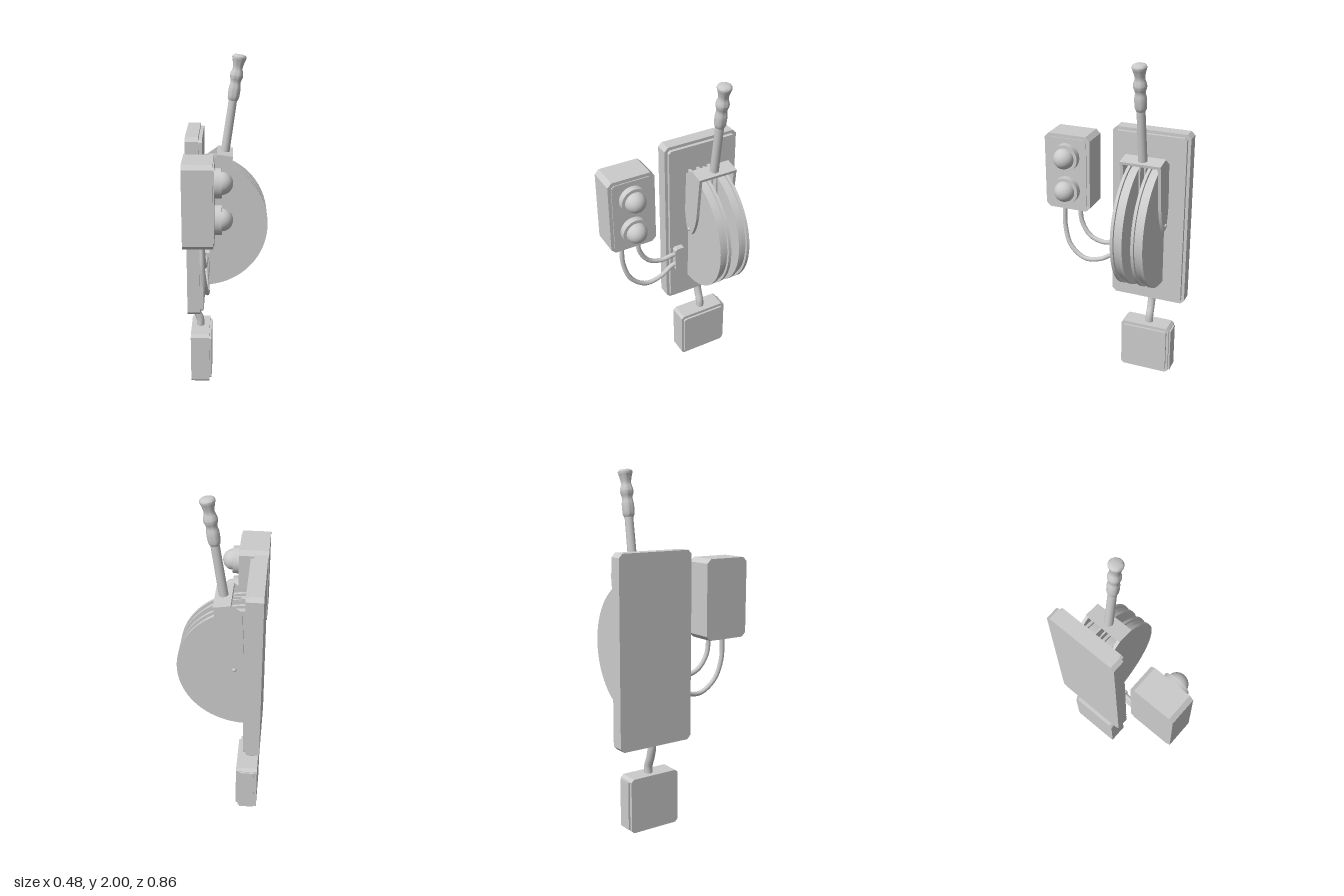
import * as THREE from 'three';
import { toCreasedNormals } from 'three/addons/utils/BufferGeometryUtils.js';

const material = new THREE.MeshStandardMaterial({ color: 0xcccccc });

function add(parent, name, geometry, x = 0, y = 0, z = 0) {
  const mesh = new THREE.Mesh(geometry, material);
  mesh.name = name;
  mesh.position.set(x, y, z);
  parent.add(mesh);
  return mesh;
}

// Plate facing +x with cut corners
function plate(parent, name, [x0, x1], [y0, y1], [z0, z1], c) {
  const s = new THREE.Shape([
    [-z1 + c, y0], [-z0 - c, y0], [-z0, y0 + c], [-z0, y1 - c],
    [-z0 - c, y1], [-z1 + c, y1], [-z1, y1 - c], [-z1, y0 + c],
  ].map(([a, b]) => new THREE.Vector2(a, b)));
  const g = new THREE.ExtrudeGeometry(s, { depth: x1 - x0, bevelEnabled: false });
  g.rotateY(Math.PI / 2);
  return add(parent, name, g, x0);
}

// Tube through a few points
function tube(parent, name, points, radius) {
  const curve = new THREE.CatmullRomCurve3(points.map(p => new THREE.Vector3(...p)));
  return add(parent, name, new THREE.TubeGeometry(curve, 40, radius, 12));
}

// Half disc bulging toward +x, axis along z
function halfDisc(parent, name, radius, z0, z1) {
  const g = new THREE.CylinderGeometry(radius, radius, z1 - z0, 40, 1, false, 0, Math.PI);
  g.rotateX(Math.PI / 2);
  return add(parent, name, g, -0.15, 1.02, (z0 + z1) / 2);
}

export function createModel() {
  const model = new THREE.Group();
  model.name = 'leverSwitch';

  // Wall plate in two tiers
  plate(model, 'backPlate', [-0.24, -0.165], [0.49, 1.57], [-0.43, 0.035], 0.022);
  plate(model, 'backPlateTier', [-0.165, -0.145], [0.508, 1.552], [-0.412, 0.017], 0.014);

  // Signal box with two lamps
  plate(model, 'signalBox', [-0.24, -0.075], [1.045, 1.51], [0.145, 0.427], 0.025);
  plate(model, 'signalBoxFace', [-0.075, -0.069], [1.065, 1.49], [0.165, 0.407], 0.015);
  for (const y of [1.38, 1.175]) {
    const ring = new THREE.CylinderGeometry(0.081, 0.081, 0.04, 32).rotateZ(-Math.PI / 2);
    add(model, 'lampRing', ring, -0.05, y, 0.287);
    const dome = new THREE.SphereGeometry(0.062, 32, 12, 0, Math.PI * 2, 0, Math.PI / 2);
    add(model, 'lampDome', dome.rotateZ(-Math.PI / 2), -0.031, y, 0.287);
  }

  // Lower junction box with front and side panels
  plate(model, 'lowerBox', [-0.228, -0.115], [0, 0.317], [-0.356, -0.045], 0.016);
  plate(model, 'lowerBoxPanel', [-0.115, -0.102], [0.018, 0.298], [-0.342, -0.06], 0.008);
  add(model, 'lowerBoxSidePanel', new THREE.BoxGeometry(0.085, 0.28, 0.012), -0.168, 0.158, -0.36);

  // Conduit and cables
  tube(model, 'conduit', [[-0.21, 0.54, -0.21], [-0.21, 0.47, -0.21], [-0.195, 0.41, -0.21],
    [-0.175, 0.36, -0.21], [-0.172, 0.3, -0.21]], 0.024);
  plate(model, 'cableConnector', [-0.145, -0.108], [0.73, 0.89], [-0.07, 0], 0.012);
  tube(model, 'outerCable', [[-0.14, 1.06, 0.335], [-0.135, 0.9, 0.335], [-0.122, 0.78, 0.295],
    [-0.115, 0.71, 0.2], [-0.12, 0.72, 0.1], [-0.127, 0.765, 0.02], [-0.127, 0.775, -0.01]], 0.014);
  tube(model, 'innerCable', [[-0.14, 1.06, 0.235], [-0.137, 0.95, 0.225], [-0.132, 0.865, 0.17],
    [-0.13, 0.835, 0.09], [-0.127, 0.845, 0.02], [-0.127, 0.848, -0.01]], 0.014);

  // Two grooved half wheels
  for (const z of [-0.26, -0.139]) {
    const wheel = new THREE.Group();
    wheel.name = 'halfWheel';
    halfDisc(wheel, 'wheelCore', 0.37, z - 0.02, z + 0.02);
    halfDisc(wheel, 'wheelFlange', 0.386, z - 0.035, z - 0.018);
    halfDisc(wheel, 'wheelFlange', 0.386, z + 0.018, z + 0.035);
    model.add(wheel);
  }

  // Side arms, pivot pins and centre straps of the lever
  const arm = new THREE.Shape();
  arm.moveTo(-0.065, 1.442);
  arm.lineTo(-0.125, 1.40);
  arm.lineTo(-0.136, 1.14);
  arm.quadraticCurveTo(-0.125, 1.04, -0.1, 1.01);
  arm.quadraticCurveTo(-0.08, 0.995, -0.06, 1.01);
  arm.quadraticCurveTo(-0.01, 1.09, 0.0, 1.18);
  arm.lineTo(0.028, 1.43);
  for (const side of [-1, 1]) {
    const armGeometry = new THREE.ExtrudeGeometry(arm, { depth: 0.018, bevelEnabled: false });
    add(model, 'leverArm', armGeometry, 0, 0, -0.2 + side * 0.111 - 0.009);
    const pin = new THREE.SphereGeometry(0.012, 12, 8).scale(1, 1, 0.8);
    add(model, 'pivotPin', pin, -0.085, 1.035, -0.2 + side * 0.121);
    add(model, 'centreStrap', new THREE.BoxGeometry(0.1, 0.39, 0.009), -0.06, 1.23, -0.2 + side * 0.016);
  }
  add(model, 'pivotAxle', new THREE.CylinderGeometry(0.012, 0.012, 0.23, 12).rotateX(Math.PI / 2), -0.085, 1.035, -0.2);

  // Tilted crossbar, rod and turned grip
  const lever = new THREE.Group();
  lever.name = 'lever';
  lever.position.set(-0.0175, 1.434, -0.2);
  lever.rotation.z = -0.148;
  model.add(lever);
  add(lever, 'crossbar', new THREE.BoxGeometry(0.095, 0.016, 0.24));
  add(lever, 'leverRod', new THREE.CylinderGeometry(0.024, 0.026, 0.33, 20), 0, 0.165, 0);
  const grip = new THREE.SplineCurve([
    [0.026, 0.31], [0.033, 0.33], [0.034, 0.38], [0.029, 0.415], [0.037, 0.445],
    [0.036, 0.465], [0.028, 0.495], [0.034, 0.53], [0.041, 0.555], [0.037, 0.566],
  ].map(([r, y]) => new THREE.Vector2(r, y))).getPoints(30);
  grip.push(new THREE.Vector2(0.03, 0.57), new THREE.Vector2(0, 0.571));
  add(lever, 'grip', toCreasedNormals(new THREE.LatheGeometry(grip, 24), 0.7));

  return model;
}
